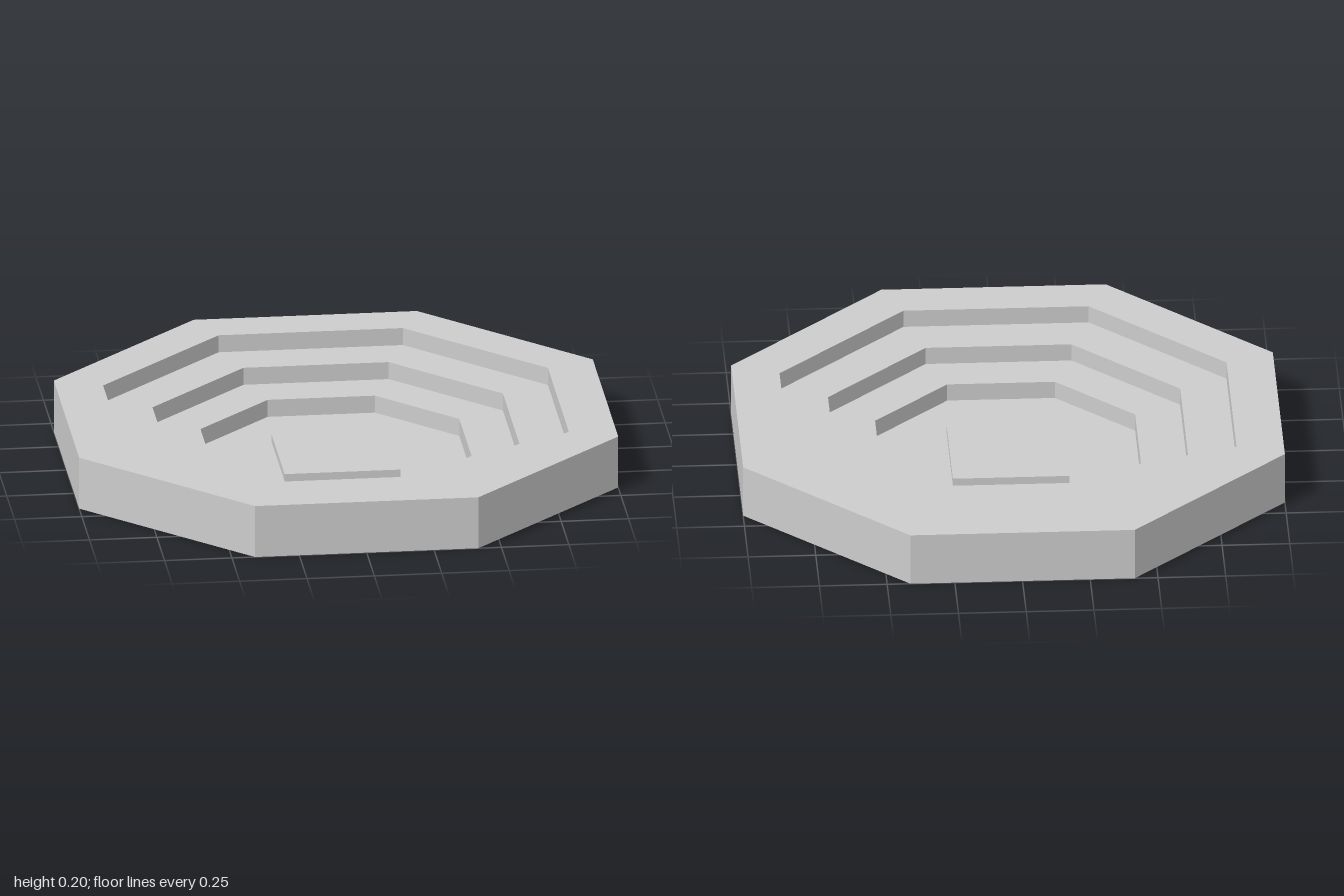
import * as THREE from 'three';

const SIDES = 8;
const TURN = Math.PI / SIDES; // puts flat sides on the x and z axes

// Octagonal band swept between two [apothem, height] points, with faceted normals
function band(from, to) {
  const points = [from, to].map(([a, y]) => new THREE.Vector2(a / Math.cos(TURN), y));
  const geometry = new THREE.LatheGeometry(points, SIDES, TURN).toNonIndexed();
  geometry.computeVertexNormals();
  return geometry;
}

export function createModel() {
  const model = new THREE.Group();
  model.name = 'steppedOctagon';
  const grey = new THREE.MeshStandardMaterial({ color: 0xcccccc, side: THREE.DoubleSide });
  grey.name = 'lightGrey';

  const add = (name, geometry) => {
    const mesh = new THREE.Mesh(geometry, grey);
    mesh.name = name;
    model.add(mesh);
    return mesh;
  };

  const height = 0.2;
  const apothems = [1, 0.825, 0.65, 0.48];
  const steps = apothems.length - 1;
  const level = (i) => height * (1 - i / steps);

  // Outer skirt, open underneath
  add('outerWall', band([1, 0], [1, height]));

  // Treads stepping down towards the middle, each with a vertical riser
  for (let i = 0; i < steps; i++) {
    const inner = apothems[i + 1];
    add(`tread${i + 1}`, band([apothems[i], level(i)], [inner, level(i)]));
    add(`riser${i + 1}`, band([inner, level(i)], [inner, level(i + 1)]));
  }

  // Sunken floor
  const floor = new THREE.CircleGeometry(apothems[steps] / Math.cos(TURN), SIDES, TURN);
  add('floor', floor.rotateX(-Math.PI / 2));

  // Low square slab in the middle, just clear of the floor's underside
  add('centreSlab', new THREE.BoxGeometry(0.43, 0.029, 0.43)).position.y = 0.0155;

  return model;
}
